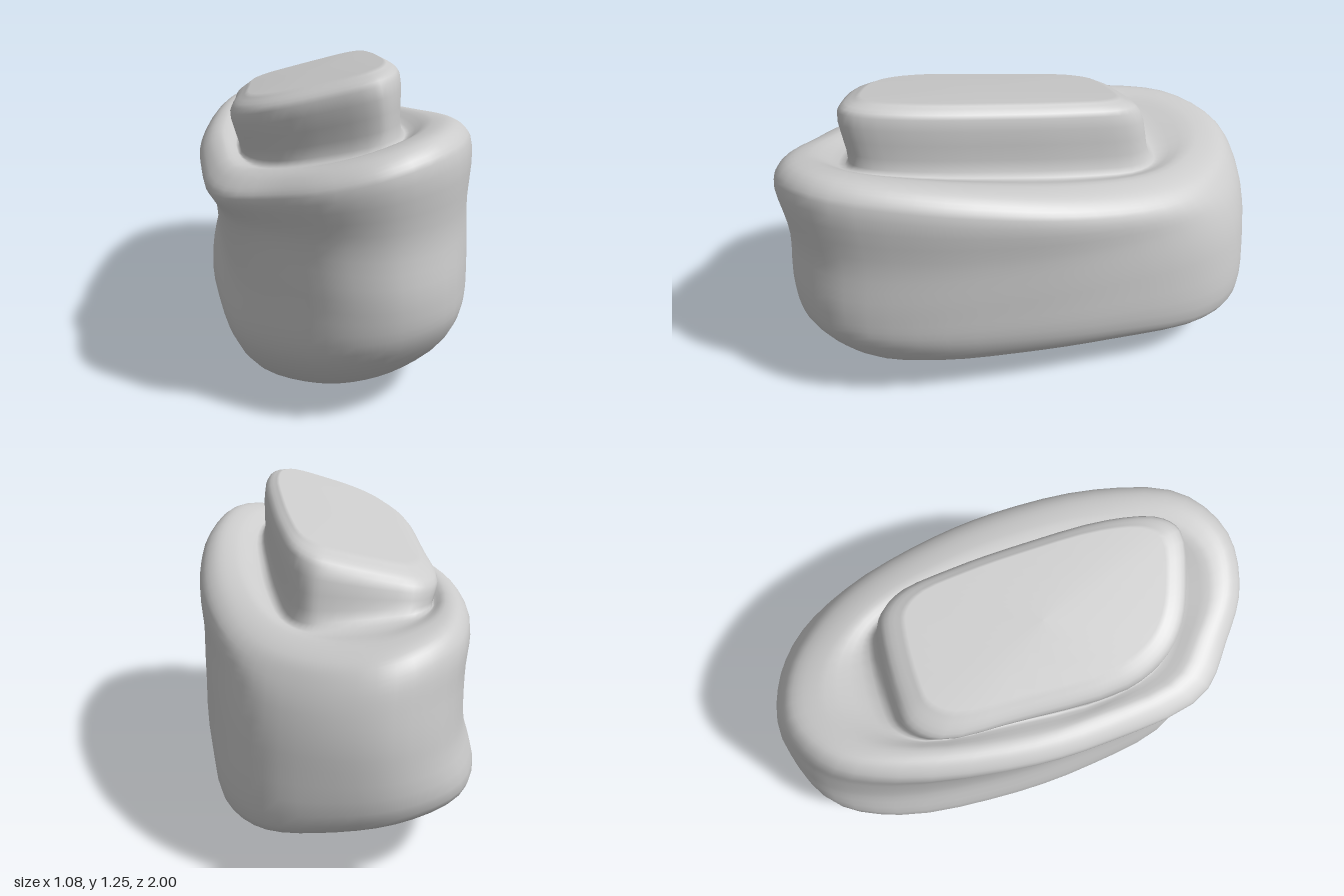
import * as THREE from 'three';

const AROUND = 56, UP = 48;

// Closed outlines seen from above (x, z), starting at the back and running by +x to the front
// Low on the body the front -x corner is cut back, high up the back +x corner is
const lowerOutline = [
  [-0.1, -1], [0.15, -0.98], [0.37, -0.89], [0.49, -0.7], [0.53, -0.3], [0.535, 0.13], [0.5, 0.56], [0.39, 0.85],
  [0.2, 0.97], [0.02, 0.97], [-0.16, 0.88], [-0.36, 0.67], [-0.46, 0.27], [-0.495, -0.15], [-0.46, -0.62], [-0.33, -0.89],
];
const upperOutline = [
  [-0.1, -1], [0.13, -0.95], [0.32, -0.78], [0.44, -0.56], [0.52, -0.2], [0.535, 0.13], [0.49, 0.52], [0.36, 0.86],
  [0.15, 1], [-0.08, 0.98], [-0.27, 0.86], [-0.45, 0.7], [-0.53, 0.27], [-0.54, -0.1], [-0.46, -0.6], [-0.33, -0.87],
];
const capOutline = [
  [-0.2, -0.47], [0.05, -0.47], [0.13, -0.45], [0.19, -0.37], [0.22, -0.15], [0.23, 0.13], [0.22, 0.48], [0.17, 0.67],
  [0.1, 0.73], [-0.08, 0.7], [-0.23, 0.64], [-0.33, 0.55], [-0.4, 0.38], [-0.4, -0.05], [-0.38, -0.35], [-0.3, -0.45],
];

// Smooth an outline and scale it to the unit square
function unitOutline(points) {
  const curve = new THREE.CatmullRomCurve3(points.map(([x, z]) => new THREE.Vector3(x, 0, z)), true);
  const pts = Array.from({ length: AROUND }, (_, i) => curve.getPoint(i / AROUND));
  const box = new THREE.Box3().setFromPoints(pts);
  const size = box.getSize(new THREE.Vector3());
  return pts.map(p => [(p.x - box.min.x) / size.x, (p.z - box.min.z) / size.z]);
}

// The body outline at a level from 0 (low) to 1 (high)
const bodyOutline = t => unitOutline(lowerOutline.map((p, i) => p.map((v, k) => v + (upperOutline[i][k] - v) * t)));

// Tilted and twisted height rules
const tilt = (a, b, c, d = 0) => (x, z) => a + b * x + c * z + d * x * z;
const base = tilt(0.1, 0.15, -0.09, 0.25);
const rim = drop => tilt(0.93 - drop, 0.05, 0.085, 0.25);
const top = drop => tilt(1.1575 - drop, 0.25, 0.125);

export function createModel() {
  const lower = bodyOutline(0), upper = bodyOutline(1), cap = unitOutline(capOutline);

  // Cross-sections from the underside to the raised top: outline, x range, z range, height
  const rings = [
    [lower, 0.03, 0.03, -0.05, -0.05, base],
    [lower, -0.3, 0.36, -0.64, 0.58, base],
    [lower, -0.42, 0.46, -0.84, 0.79, tilt(0.155, 0.08, -0.05, 0.2)],
    [lower, -0.505, 0.52, -0.97, 0.95, tilt(0.28, 0.03, 0.02, 0.15)],
    [bodyOutline(0.35), -0.475, 0.53, -1, 0.98, tilt(0.5, 0, 0)],
    [bodyOutline(0.7), -0.495, 0.53, -0.98, 0.97, tilt(0.7, 0, 0.03)],
    [upper, -0.535, 0.535, -0.94, 1, tilt(0.86, 0.05, 0.08, 0.2)],
    [upper, -0.495, 0.475, -0.89, 0.95, rim(0.015)],
    [upper, -0.44, 0.38, -0.77, 0.86, rim(0)],
    [cap, -0.37, 0.26, -0.54, 0.72, rim(0.025)],
    [cap, -0.4, 0.235, -0.475, 0.73, top(0.05)],
    [cap, -0.33, 0.18, -0.38, 0.64, top(0)],
    [cap, -0.08, -0.08, 0.13, 0.13, top(0)],
  ];

  // Each column is a smooth curve through all cross-sections
  const pos = [], index = [];
  for (let i = 0; i < AROUND; i++) {
    const column = new THREE.CatmullRomCurve3(rings.slice(1, -1).map(([o, x0, x1, z0, z1, h]) => {
      const x = x0 + (x1 - x0) * o[i][0], z = z0 + (z1 - z0) * o[i][1];
      return new THREE.Vector3(x, h(x, z), z);
    }));
    for (let j = 0; j <= UP; j++) pos.push(...column.getPoint(j / UP).toArray());
  }
  const id = (i, j) => (i % AROUND) * (UP + 1) + j;
  const poles = [rings[0], rings[rings.length - 1]].map(([, x, , z, , h]) => {
    pos.push(x, h(x, z), z);
    return pos.length / 3 - 1;
  });
  for (let i = 0; i < AROUND; i++) {
    for (let j = 0; j < UP; j++) {
      index.push(id(i, j), id(i, j + 1), id(i + 1, j), id(i + 1, j), id(i, j + 1), id(i + 1, j + 1));
    }
    // Close the underside and the top
    index.push(poles[0], id(i, 0), id(i + 1, 0), poles[1], id(i + 1, UP), id(i, UP));
  }

  const geometry = new THREE.BufferGeometry();
  geometry.setAttribute('position', new THREE.Float32BufferAttribute(pos, 3));
  geometry.setIndex(index);
  geometry.computeBoundingBox();
  geometry.translate(0, -geometry.boundingBox.min.y, 0);
  geometry.computeVertexNormals();

  const shell = new THREE.Mesh(geometry, new THREE.MeshStandardMaterial({ color: 0xcccccc }));
  shell.name = 'bodyWithRaisedTop';
  const group = new THREE.Group();
  group.name = 'roundedBlock';
  group.add(shell);
  return group;
}
